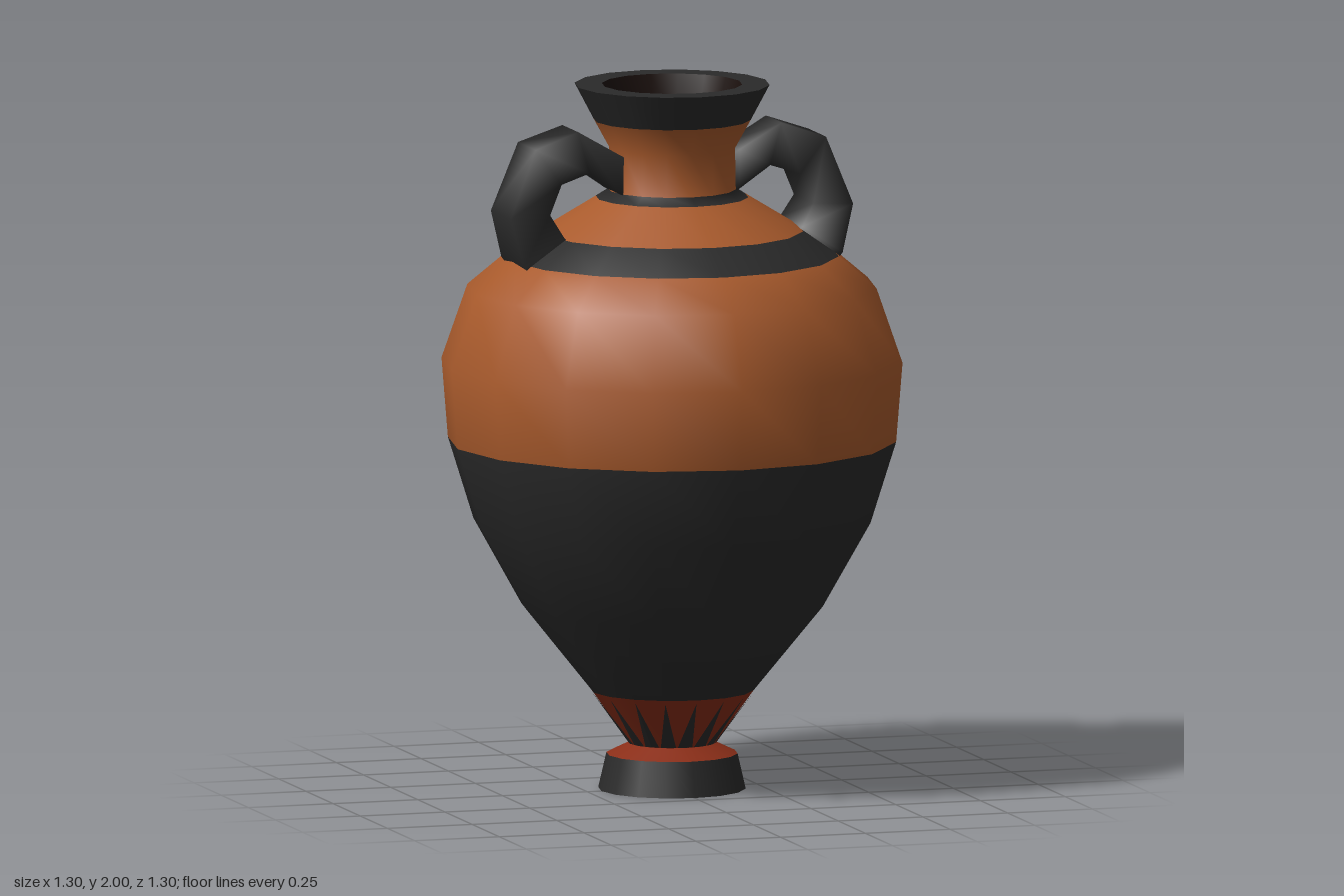
import * as THREE from 'three';

const SIDES = 16;
const paint = (color, side = THREE.FrontSide) => new THREE.MeshStandardMaterial({ color, side });

export function createModel() {
  const group = new THREE.Group();
  const orange = paint(0xa85a2c);
  const black = paint(0x2a2a2a);
  const red = paint(0x8a2e18);
  const dark = paint(0x1c110e);

  const add = (name, geometry, material) => {
    const mesh = new THREE.Mesh(geometry, material);
    mesh.name = name;
    group.add(mesh);
    return mesh;
  };
  const lathe = (points) =>
    new THREE.LatheGeometry(points.map(([r, y]) => new THREE.Vector2(r, y)), SIDES);

  // Keep only profile rows from..to of a lathe, so painted bands share smooth normals
  const addBand = (name, source, rows, from, to, material) => {
    const geometry = source.clone();
    const all = source.index.array;
    const kept = [];
    for (let i = 0; i < SIDES; i++) {
      for (let j = from; j < to; j++) {
        const start = (i * rows + j) * 6;
        kept.push(...all.slice(start, start + 6));
      }
    }
    geometry.setIndex(kept);
    add(name, geometry, material);
  };

  // Foot
  add('footBottom', lathe([[0, 0], [0.208, 0]]), black);
  add('footSide', lathe([[0.208, 0], [0.185, 0.1]]), black);
  add('footTop', lathe([[0.185, 0.1], [0.122, 0.13]]), red);

  // Body and neck, in painted bands
  const profile = [
    [0.122, 0.13], [0.23, 0.28], [0.425, 0.52], [0.56, 0.76], [0.632, 0.99],
    [0.65, 1.215], [0.577, 1.425], [0.47, 1.515], [0.37, 1.585],
    [0.215, 1.68], [0.18, 1.702], [0.178, 1.82], [0.222, 1.9],
  ];
  const body = lathe(profile);
  const bands = [
    ['spikeBand', 0, 1, red],
    ['lowerBody', 1, 4, black],
    ['upperBody', 4, 7, orange],
    ['shoulderBand', 7, 8, black],
    ['shoulder', 8, 9, orange],
    ['neckRing', 9, 10, black],
    ['neck', 10, 12, orange],
  ];
  for (const [name, from, to, material] of bands) {
    addBand(name, body, profile.length - 1, from, to, material);
  }

  // Flared rim and hollow mouth
  add('rim', lathe([[0.222, 1.9], [0.275, 2]]), black);
  add('rimTop', lathe([[0.275, 2], [0.198, 2]]), black);
  add('mouth', lathe([[0.198, 2], [0.158, 1.85], [0.155, 1.65], [0, 1.65]]), dark);

  // Dark patch on two facets of the neck
  add('neckPatch', new THREE.CylinderGeometry(0.181, 0.183, 0.118, 2, 1, true,
    Math.PI / 2 + Math.PI / 4, Math.PI / 4).translate(0, 1.761, 0), black);

  // Ring of pointed rays above the foot, folded over the corner edges of the band
  const positions = [];
  const half = 0.0215;
  for (let i = 0; i < SIDES; i++) {
    const a = (i / SIDES) * Math.PI * 2;
    const out = new THREE.Vector3(Math.sin(a), 0, Math.cos(a));
    const side = new THREE.Vector3(Math.cos(a), 0, -Math.sin(a));
    const at = (r, y, s) => out.clone().multiplyScalar(r).addScaledVector(side, s).setY(y).toArray();
    const sag = half * Math.tan(Math.PI / SIDES);
    const base = at(0.125, 0.131, 0);
    const tip = at(0.226, 0.27, 0);
    positions.push(...at(0.125 - sag, 0.131, -half), ...base, ...tip);
    positions.push(...base, ...at(0.125 - sag, 0.131, half), ...tip);
  }
  const rays = new THREE.BufferGeometry();
  rays.setAttribute('position', new THREE.Float32BufferAttribute(positions, 3));
  rays.computeVertexNormals();
  add('rays', rays, paint(0x2a2a2a, THREE.DoubleSide));

  // Handle: sections of outer x, outer y, inner x, inner y, half width
  const sections = [
    [0.15, 1.8, 0.15, 1.69, 0.068],
    [0.177, 1.815, 0.177, 1.704, 0.07],
    [0.3, 1.886, 0.267, 1.767, 0.073],
    [0.428, 1.842, 0.352, 1.74, 0.083],
    [0.505, 1.65, 0.389, 1.656, 0.092],
    [0.47, 1.515, 0.352, 1.593, 0.105],
    [0.42, 1.45, 0.3, 1.54, 0.105],
  ];
  const corners = [];
  const faces = [];
  sections.forEach(([ox, oy, ix, iy, w], i) => {
    corners.push(ox, oy, w, ox, oy, -w, ix, iy, -w, ix, iy, w);
    if (i === 0) return;
    for (let k = 0; k < 4; k++) {
      const a = (i - 1) * 4 + k;
      const b = (i - 1) * 4 + ((k + 1) % 4);
      faces.push(a, a + 4, b, b, a + 4, b + 4);
    }
  });
  const handle = new THREE.BufferGeometry();
  handle.setAttribute('position', new THREE.Float32BufferAttribute(corners, 3));
  handle.setIndex(faces);
  handle.computeVertexNormals();
  add('leftHandle', handle, black);
  add('rightHandle', handle, black).rotation.y = Math.PI;

  return group;
}
